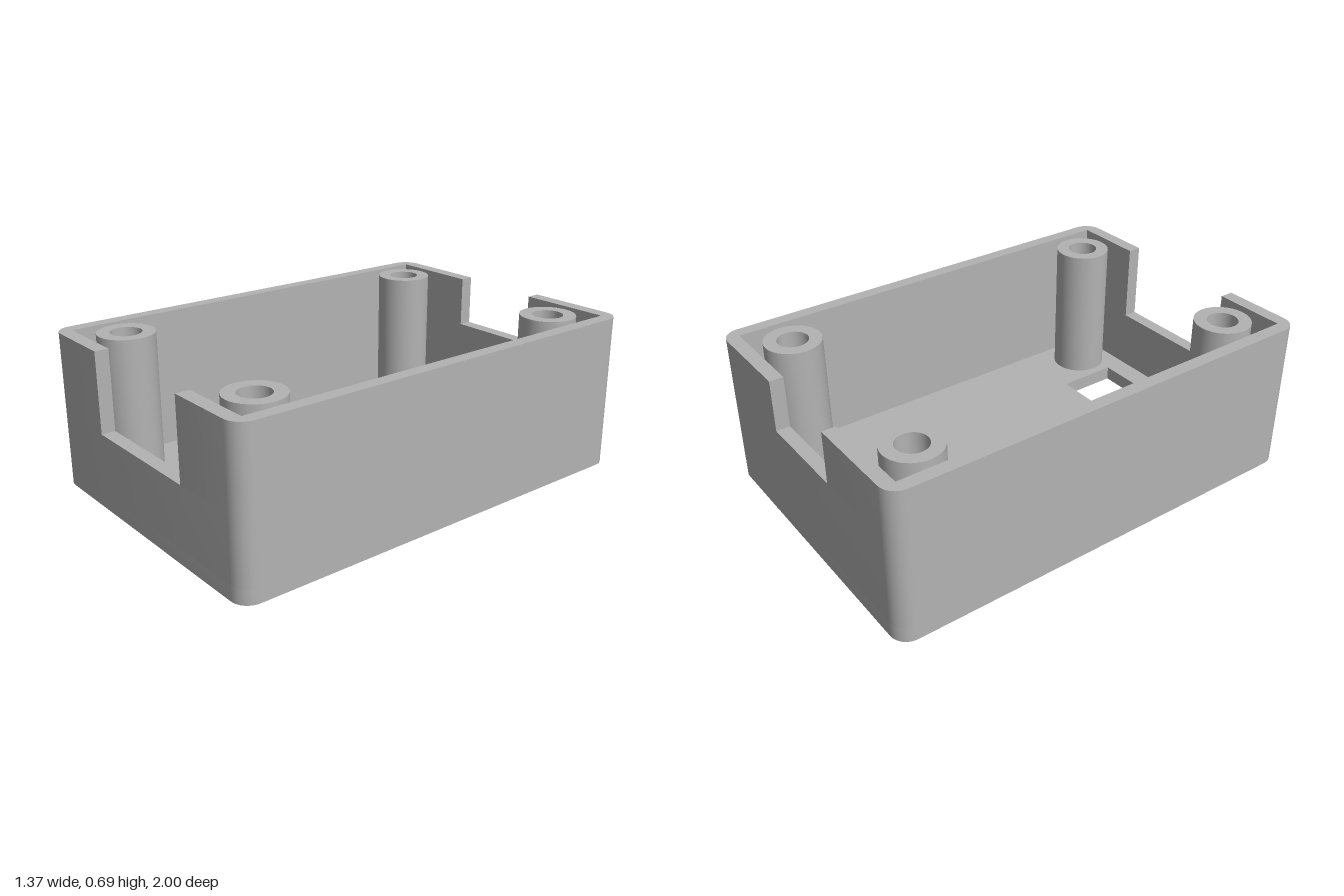
import * as THREE from 'three';
import { mergeGeometries, toCreasedNormals } from 'three/addons/utils/BufferGeometryUtils.js';

// Overall sizes
const W = 0.685, L = 1, H = 0.685, R = 0.075;      // half width, half length, height, corner radius
const IW = 0.627, IL = 0.94, FLOOR = 0.065;        // inner half width and length, floor thickness
const FRONT = { half: 0.304, y: 0.335 };           // front notch
const BACK = { half: 0.214, y: 0.455 };            // back notch
const POST = { x: 0.466, z: 0.776, r: 0.123, hole: 0.067 };

const V = (x, y) => new THREE.Vector2(x, y);
const mirror = pts => pts.map(p => V(-p.x, p.y)).reverse();

// Plans are drawn with shape y = -z, so the front is at shape y = -L
function corner(cx, cy, from) {
  return Array.from({ length: 9 }, (_, i) => {
    const a = from + (i / 8) * Math.PI / 2;
    return V(cx + R * Math.cos(a), cy + R * Math.sin(a));
  });
}
const outerHalf = [...corner(W - R, -L + R, -Math.PI / 2), ...corner(W - R, L - R, 0)];
const outer = [...outerHalf, ...mirror(outerHalf)];
const innerHalf = [V(IW, IL), V(IW, -IL)];
const inner = [...mirror(innerHalf), ...innerHalf];
const rect = (x0, x1, y0, y1) => [V(x0, y0), V(x1, y0), V(x1, y1), V(x0, y1)];

function plan(points, holes = []) {
  const shape = new THREE.Shape(points);
  shape.holes = holes.map(h => new THREE.Path(h));
  return shape;
}

function extrude(shape, y0, y1) {
  const geo = new THREE.ExtrudeGeometry(shape, { depth: y1 - y0, bevelEnabled: false });
  return geo.rotateX(-Math.PI / 2).translate(0, y0, 0);
}

// Upright faces of an extrusion, without its caps
function sides(shape, y0, y1) {
  const geo = extrude(shape, y0, y1);
  const { start, count } = geo.groups[1];
  const out = new THREE.BufferGeometry();
  for (const name of ['position', 'normal', 'uv']) {
    const a = geo.attributes[name], n = a.itemSize;
    out.setAttribute(name, new THREE.BufferAttribute(a.array.slice(start * n, (start + count) * n), n));
  }
  return out;
}

// Level face looking up
function cap(points, y) {
  return new THREE.ShapeGeometry(plan(points)).toNonIndexed().rotateX(-Math.PI / 2).translate(0, y, 0);
}

export function createModel() {
  const grey = new THREE.MeshStandardMaterial({ color: 0xb3b3b3 });
  grey.name = 'grey plastic';
  const model = new THREE.Group();
  model.name = 'enclosureBase';
  const add = (name, geo) => {
    const mesh = new THREE.Mesh(toCreasedNormals(geo, 0.6), grey);
    mesh.name = name;
    model.add(mesh);
    return mesh;
  };

  // Floor with four screw holes and a slot near the front
  const holes = [rect(-0.304, 0.304, -0.84, -0.565)];
  for (const sx of [-1, 1]) for (const sz of [-1, 1]) {
    holes.push(Array.from({ length: 32 }, (_, i) => {
      const a = i / 32 * Math.PI * 2;
      return V(sx * POST.x + POST.hole * Math.sin(a), sz * POST.z + POST.hole * Math.cos(a));
    }));
  }
  add('floor', extrude(plan(outer, holes), 0, FLOOR));

  // Walls in three tiers: closed ring, open at the front, open at both ends
  const f = FRONT.half, b = BACK.half;
  const openFront = [V(f, -L), ...outer, V(-f, -L), V(-f, -IL), ...inner, V(f, -IL)];
  const half = [V(f, -L), ...outerHalf, V(b, L), V(b, IL), ...innerHalf, V(f, -IL)];
  const halves = [half, mirror(half)];
  add('walls', mergeGeometries([
    sides(plan(outer, [inner]), FLOOR, FRONT.y),
    sides(plan(openFront), FRONT.y, BACK.y),
    ...halves.map(h => sides(plan(h), BACK.y, H)),
  ]));

  // Rim and notch sills
  add('rim', mergeGeometries(halves.map(h => cap(h, H))));
  add('frontNotchSill', cap(rect(-f, f, -L, -IL), FRONT.y));
  add('backNotchSill', cap(rect(-b, b, IL, L), BACK.y));

  // Hollow screw posts
  const profile = [V(POST.r, FLOOR), V(POST.r, H), V(POST.hole, H), V(POST.hole, FLOOR)];
  for (const sx of [-1, 1]) for (const sz of [-1, 1]) {
    const name = (sz > 0 ? 'front' : 'back') + (sx > 0 ? 'Left' : 'Right') + 'Post';
    add(name, new THREE.LatheGeometry(profile, 32)).position.set(sx * POST.x, 0, sz * POST.z);
  }
  return model;
}
